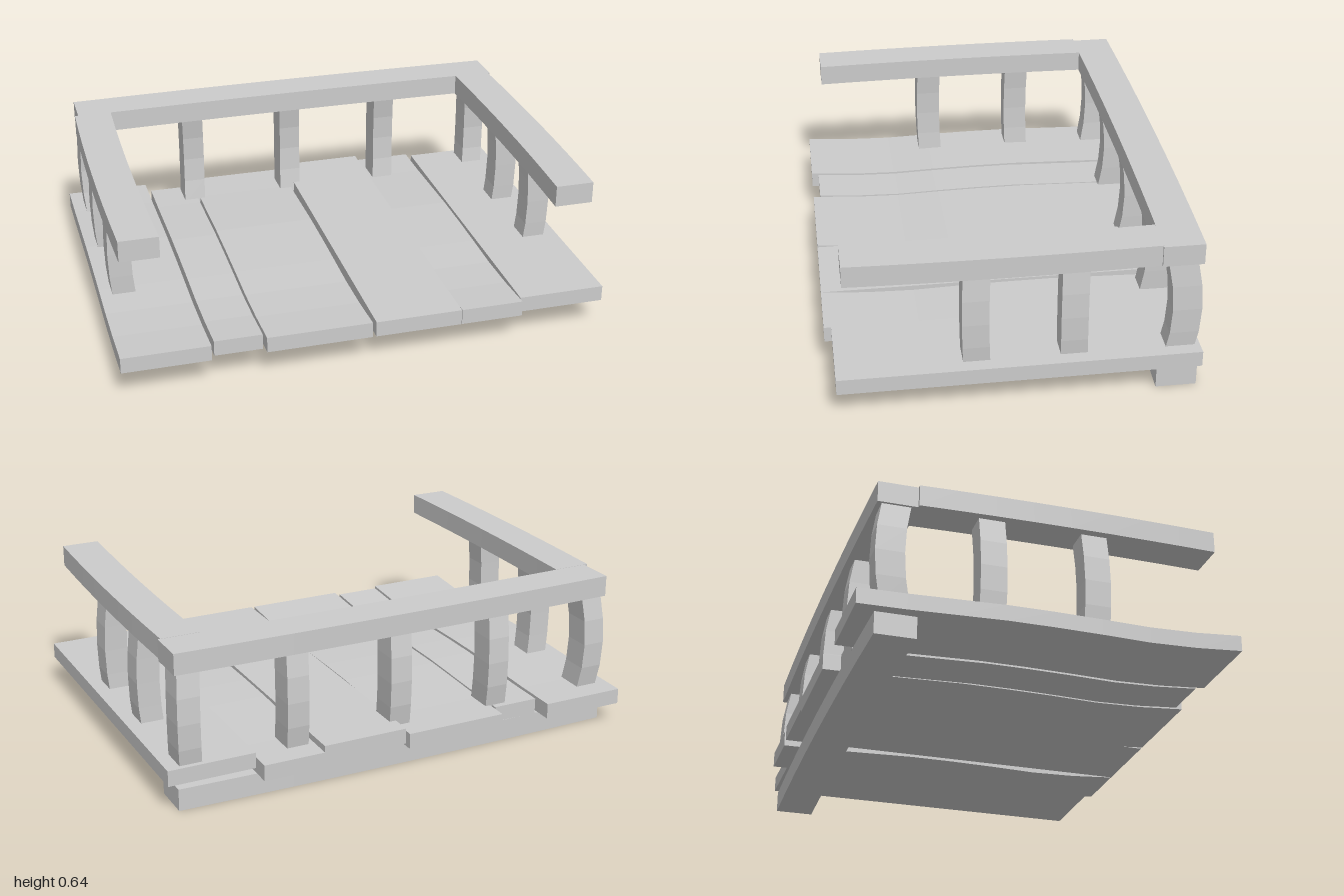
import * as THREE from 'three';

const material = new THREE.MeshStandardMaterial({ color: 0xcccccc, flatShading: true });

// Box between two corners, divided along one axis and shifted by a rule of t (0..1 along that axis).
function bentBox(name, min, max, axis, segments, shift) {
  const size = max.map((v, i) => v - min[i]);
  const seg = [0, 1, 2].map((i) => (i === axis ? segments : 1));
  const geometry = new THREE.BoxGeometry(...size, ...seg);
  geometry.translate(...min.map((v, i) => v + size[i] / 2));
  const p = geometry.attributes.position;
  for (let i = 0; i < p.count; i++) {
    const v = [p.getX(i), p.getY(i), p.getZ(i)];
    const d = shift((v[axis] - min[axis]) / size[axis]);
    p.setXYZ(i, v[0] + d[0], v[1] + d[1], v[2] + d[2]);
  }
  geometry.computeVertexNormals();
  const mesh = new THREE.Mesh(geometry, material);
  mesh.name = name;
  return mesh;
}

const arc = (t) => 4 * t * (1 - t);

export function createModel() {
  const group = new THREE.Group();
  group.name = 'railedPlatform';

  // Floor planks: x range, z range, and whether the board is warped
  const planks = [
    [-1, -0.645, -0.76, 0.76, true],
    [-0.63, -0.435, -0.69, 0.73, true],
    [-0.425, 0.005, -0.76, 0.76, true],
    [0.02, 0.378, -0.755, 0.76, false],
    [0.38, 0.637, -0.76, 0.76, true],
    [0.64, 1, -0.69, 0.73, false],
  ];
  // Drop of a warped board from its back end to its front end
  const drops = [-0.025, -0.023, -0.017, -0.011, -0.011, -0.014, -0.019, -0.014, 0];
  planks.forEach(([x0, x1, z0, z1, warped]) => {
    group.add(bentBox('floorPlank', [x0, 0.115, z0], [x1, 0.18, z1], 2, drops.length - 1,
      (t) => [0, warped ? drops[Math.round(t * (drops.length - 1))] : 0, 0]));
  });

  // Beam under the back edge and the back rail above it, both bowed backwards
  const bow = (t) => [0, 0, -0.013 * arc(t)];
  group.add(bentBox('backBeam', [-0.957, 0, -0.682], [0.957, 0.09, -0.52], 0, 8, bow));
  group.add(bentBox('backRail', [-0.957, 0.555, -0.682], [0.957, 0.642, -0.52], 0, 8, bow));

  // Side rails, bowed outwards
  group.add(bentBox('rightRail', [-0.972, 0.555, -0.523], [-0.815, 0.643, 0.688], 2, 8,
    (t) => [-0.011 * arc(t), 0, 0]));
  group.add(bentBox('leftRail', [0.783, 0.555, -0.523], [0.94, 0.643, 0.688], 2, 8,
    (t) => [0.007 * (1 - t) + 0.011 * arc(t), 0, 0]));

  // Posts, bending outwards at mid height
  const post = (name, x, z, w, d, bx, bz) => group.add(bentBox(name,
    [x - w / 2, 0.14, z - d / 2], [x + w / 2, 0.56, z + d / 2], 1, 4,
    (t) => [bx * arc(t), 0, bz * arc(t)]));
  [-0.9, -0.45, 0, 0.45, 0.895].forEach((x) => {
    const corner = Math.abs(x) > 0.8;
    post('backPost', x, -0.605, 0.092, 0.115, corner ? Math.sign(x) * 0.012 : 0.006, -0.024);
  });
  [-1, 1].forEach((side) => {
    const x = side < 0 ? -0.9 : 0.89;
    post('sidePost', x, 0.185, 0.095, 0.105, side * 0.014, 0.006);
    post('sidePost', x, side < 0 ? -0.23 : -0.195, 0.095, 0.105, side * 0.014, 0.004);
  });

  return group;
}
